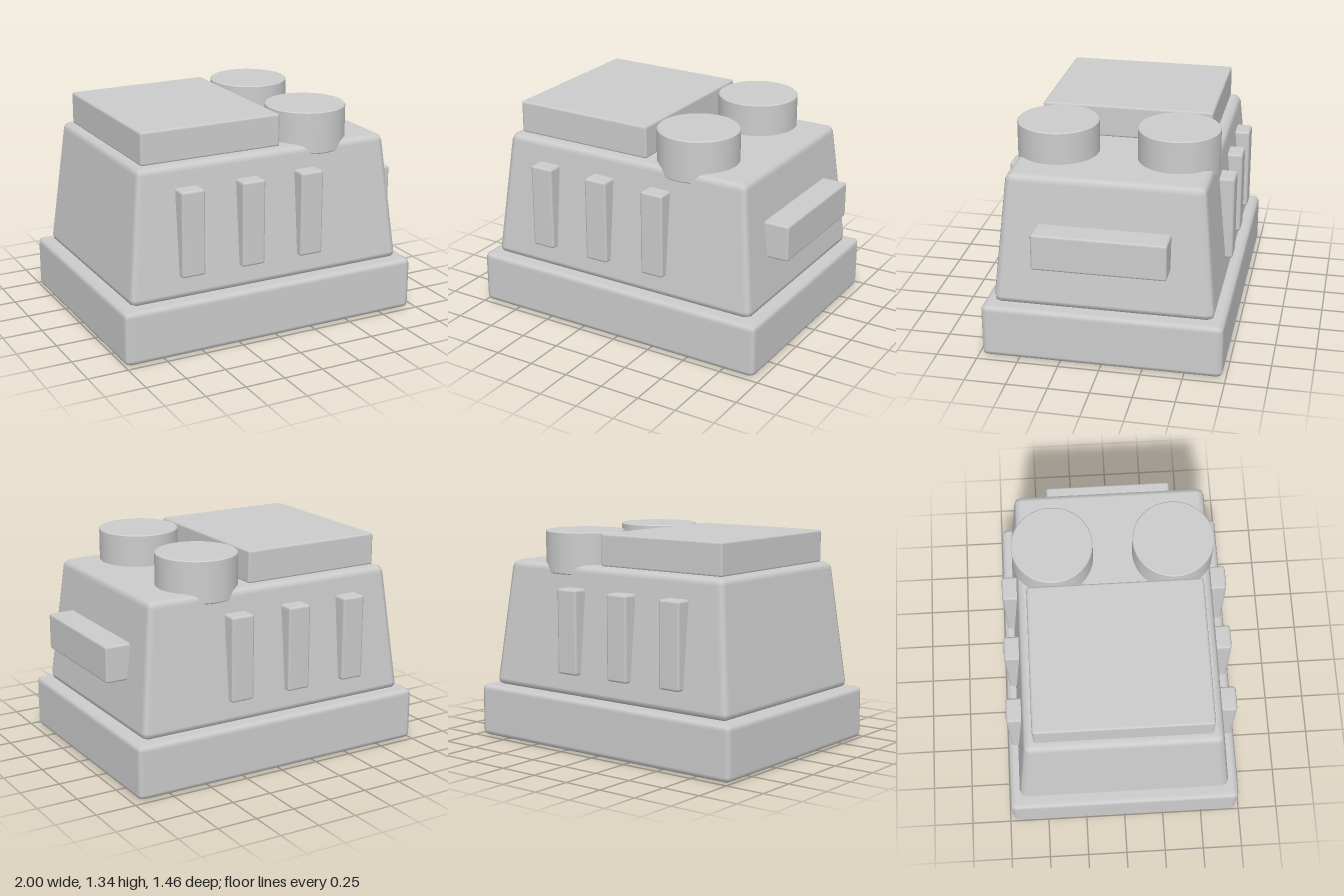
import * as THREE from 'three';

const grey = new THREE.MeshStandardMaterial({ color: 0xcccccc });
grey.name = 'plain grey';

// Box with softened edges and truly flat faces; each range is [min, max].
// taper = [x, z] inward lean of the sides per unit of height.
function softBox(name, xr, yr, zr, r, taper = [0, 0]) {
  const geo = new THREE.BoxGeometry(1, 1, 1, 3, 3, 3);
  const pos = geo.attributes.position, nor = geo.attributes.normal;
  const half = new THREE.Vector3(xr[1] - xr[0], yr[1] - yr[0], zr[1] - zr[0]).multiplyScalar(0.5);
  const p = new THREE.Vector3(), d = new THREE.Vector3();
  for (let i = 0; i < pos.count; i++) {
    p.fromBufferAttribute(pos, i);
    // direction of the rounding: only the outer rows leave the inner box
    const out = (c) => (Math.abs(c) > 0.4 ? Math.sign(c) : 0);
    d.set(out(p.x), out(p.y), out(p.z)).normalize();
    p.set(
      Math.sign(p.x) * (half.x - r) + d.x * r,
      Math.sign(p.y) * (half.y - r) + d.y * r,
      Math.sign(p.z) * (half.z - r) + d.z * r
    );
    const rise = p.y + half.y;
    p.x *= 1 - (taper[0] * rise) / half.x;
    p.z *= 1 - (taper[1] * rise) / half.z;
    d.y += Math.abs(d.x) * taper[0] + Math.abs(d.z) * taper[1];
    d.normalize();
    pos.setXYZ(i, p.x, p.y, p.z);
    nor.setXYZ(i, d.x, d.y, d.z);
  }
  geo.translate((xr[0] + xr[1]) / 2, (yr[0] + yr[1]) / 2, (zr[0] + zr[1]) / 2);
  const mesh = new THREE.Mesh(geo, grey);
  mesh.name = name;
  return mesh;
}

export function createModel() {
  const model = new THREE.Group();
  model.name = 'machineBlock';

  // Base slab and tapered housing
  model.add(softBox('base', [-1, 0.96], [0, 0.335], [-0.73, 0.73], 0.035));
  model.add(softBox('housing', [-0.935, 0.895], [0.33, 1.137], [-0.668, 0.668], 0.045, [0.11, 0.096]));

  // Flat slab on the roof
  model.add(softBox('roofSlab', [-0.8, 0.11], [1.132, 1.335], [-0.53, 0.53], 0.015));

  // Bar on the end wall
  model.add(softBox('endBar', [0.7, 0.995], [0.625, 0.85], [-0.4, 0.4], 0.015));

  // Ribs on both long walls
  for (const side of [-1, 1]) {
    for (const x of [-0.545, -0.15, 0.245]) {
      const z = side > 0 ? [0.5, 0.697] : [-0.697, -0.5];
      model.add(softBox('wallRib', [x - 0.076, x + 0.076], [0.472, 1], z, 0.016));
    }
  }

  // Two round caps that overhang the roof edge slightly
  const R = 0.247, H = 0.26, b = 0.006;
  const corners = [[0, 0], [R - b, 0], [R - b, 0], [R, b], [R, b], [R, H - b], [R, H - b], [R - b, H], [R - b, H], [0, H]];
  const capGeo = new THREE.LatheGeometry(corners.map(([x, y]) => new THREE.Vector2(x, y)), 48);
  // hard breaks between the faces, smooth around the side
  const normals = [[0, -1], [0, -1], [0.7, -0.7], [0.7, -0.7], [1, 0], [1, 0], [0.7, 0.7], [0.7, 0.7], [0, 1], [0, 1]];
  const cn = capGeo.attributes.normal;
  for (let i = 0; i < cn.count; i++) {
    const a = (Math.floor(i / corners.length) / 48) * Math.PI * 2;
    const [nr, ny] = normals[i % corners.length];
    cn.setXYZ(i, nr * Math.sin(a), ny, nr * Math.cos(a));
  }
  for (const side of [-1, 1]) {
    const cap = new THREE.Mesh(capGeo, grey);
    cap.name = 'roundCap';
    cap.position.set(0.374, 1.075, side * 0.367);
    model.add(cap);
  }
  return model;
}
